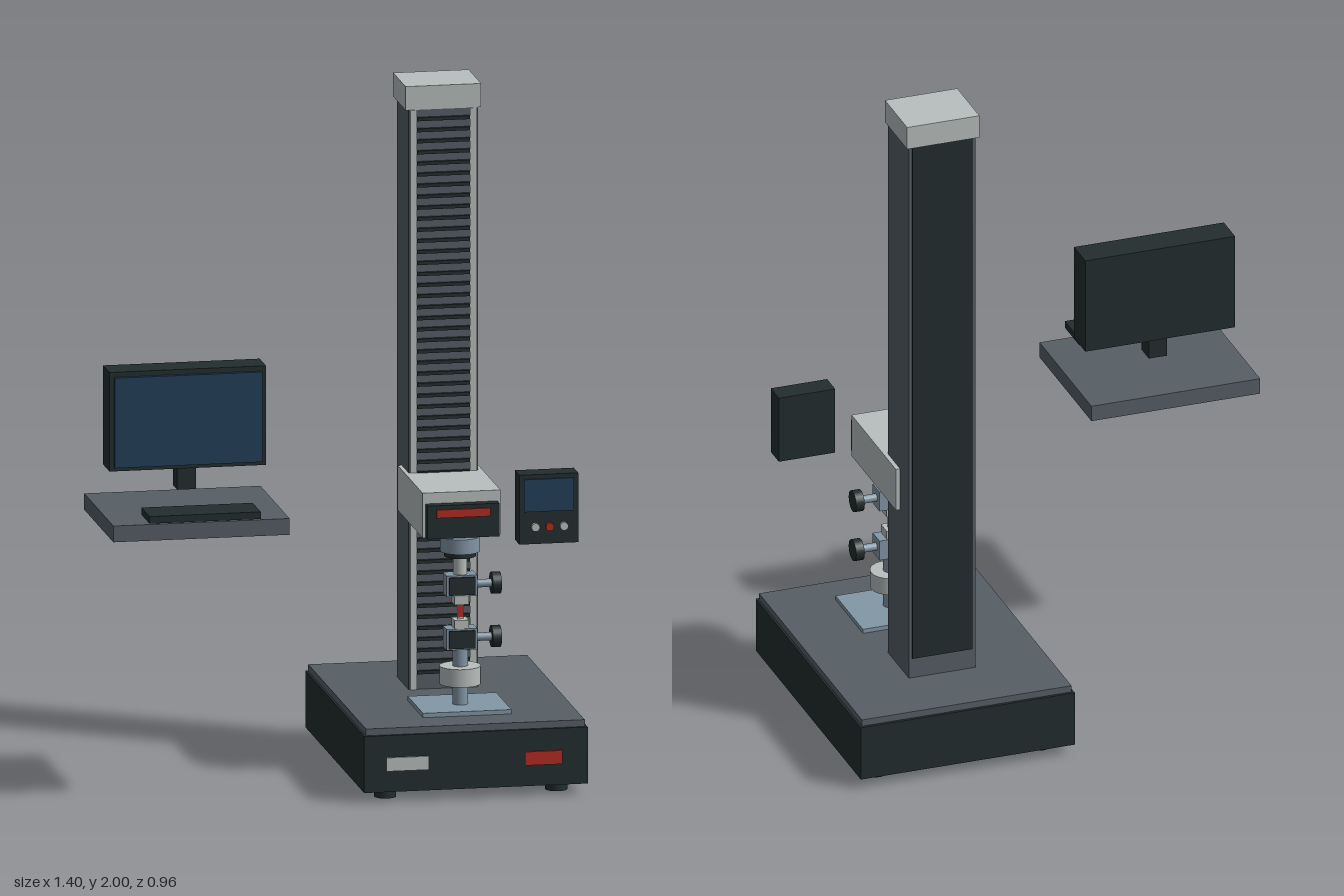
import * as THREE from 'three';

const mat = (name, color) => {
  const m = new THREE.MeshStandardMaterial({ color });
  m.name = name;
  return m;
};

export function createModel() {
  const model = new THREE.Group();
  model.name = 'tensileTester';

  const dark = mat('dark casing', 0x222d2e);
  const grey = mat('slate grey', 0x565f66);
  const light = mat('light grey', 0xb9bfbe);
  const steel = mat('blue steel', 0x8397a6);
  const blue = mat('screen blue', 0x22405a);
  const red = mat('signal red', 0xb32b22);

  const group = (name) => {
    const g = new THREE.Group();
    g.name = name;
    model.add(g);
    return g;
  };
  const add = (parent, name, geometry, material, x, y, z) => {
    const m = new THREE.Mesh(geometry, material);
    m.name = name;
    m.position.set(x, y, z);
    parent.add(m);
    return m;
  };
  // box given by its extents on each axis
  const box = (parent, name, material, [x0, x1], [y0, y1], [z0, z1]) =>
    add(parent, name, new THREE.BoxGeometry(x1 - x0, y1 - y0, z1 - z0), material,
      (x0 + x1) / 2, (y0 + y1) / 2, (z0 + z1) / 2);
  // upright cylinder between two heights
  const rod = (parent, name, material, r, y0, y1, x, z) =>
    add(parent, name, new THREE.CylinderGeometry(r, r, y1 - y0, 28), material, x, (y0 + y1) / 2, z);

  // base cabinet with feet and labels
  const base = group('base');
  box(base, 'baseCabinet', dark, [0.04, 0.697], [0.03, 0.197], [-0.477, 0.407]);
  box(base, 'baseTop', grey, [0.047, 0.69], [0.197, 0.217], [-0.468, 0.398]);
  box(base, 'lightLabel', light, [0.105, 0.23], [0.092, 0.132], [0.407, 0.412]);
  box(base, 'redLabel', red, [0.512, 0.622], [0.092, 0.132], [0.407, 0.412]);
  for (const x of [0.117, 0.62])
    for (const z of [0.327, -0.392]) rod(base, 'foot', dark, 0.032, 0, 0.03, x, z);

  // column with rails, bellows slats, back panel and cap
  const column = group('column');
  box(column, 'columnBody', grey, [0.267, 0.471], [0.217, 1.93], [-0.262, -0.086]);
  box(column, 'backPanel', dark, [0.277, 0.461], [0.28, 1.93], [-0.267, -0.262]);
  box(column, 'columnCap', light, [0.258, 0.48], [1.93, 2.0], [-0.272, -0.085]);
  for (const s of [-1, 1]) {
    const x = 0.369 + s * 0.088;
    box(column, 'rail', light, [x - 0.01, x + 0.01], [0.217, 1.93], [-0.086, -0.081]);
  }
  for (let i = 0; i < 51; i++) {
    const y = 0.268 + i * 0.0327;
    box(column, 'slat', dark, [0.291, 0.446], [y - 0.005, y + 0.005], [-0.086, -0.076]);
  }

  // moving crosshead and its front panel
  const crosshead = group('crosshead');
  box(crosshead, 'crossheadArm', light, [0.255, 0.484], [0.726, 0.858], [-0.188, 0.185]);
  box(crosshead, 'crossheadPanel', dark, [0.263, 0.475], [0.728, 0.826], [0.185, 0.216]);
  box(crosshead, 'crossheadStripe', red, [0.29, 0.447], [0.79, 0.814], [0.216, 0.221]);

  // load train along one vertical axis
  const X = 0.367, Z = 0.177;
  const train = group('loadTrain');
  rod(train, 'loadCell', steel, 0.058, 0.682, 0.726, X, Z);
  rod(train, 'loadCellCollar', dark, 0.046, 0.667, 0.682, X, Z);
  rod(train, 'upperShaft', light, 0.02, 0.61, 0.667, X, Z);
  rod(train, 'lowerShaft', steel, 0.022, 0.23, 0.397, X, Z);
  rod(train, 'lowerCoupling', light, 0.06, 0.29, 0.343, X, Z);
  box(train, 'mountingPlate', steel, [0.237, 0.497], [0.217, 0.23], [0.054, 0.284]);

  // grip with front plate, jaw and side knob; dir points away from the specimen
  const grip = (name, y, dir) => {
    const g = group(name);
    box(g, 'gripBody', steel, [X - 0.045, X + 0.045], [y - 0.031, y + 0.031], [Z - 0.03, Z + 0.027]);
    box(g, 'gripPlate', dark, [X - 0.038, X + 0.038], [y - 0.026, y + 0.026], [Z + 0.027, Z + 0.034]);
    const jaw = y - dir * 0.043;
    box(g, 'jaw', light, [X - 0.021, X + 0.021], [jaw - 0.013, jaw + 0.013], [Z - 0.025, Z + 0.025]);
    const screw = new THREE.CylinderGeometry(0.012, 0.012, 0.06, 20).rotateZ(Math.PI / 2);
    add(g, 'knobScrew', screw, steel, X + 0.07, y, Z);
    const knob = new THREE.CylinderGeometry(0.032, 0.032, 0.026, 24).rotateZ(Math.PI / 2);
    add(g, 'knob', knob, dark, 0.471, y, Z);
  };
  grip('upperGrip', 0.583, 1);
  grip('lowerGrip', 0.425, -1);
  box(train, 'specimen', light, [X - 0.009, X + 0.009], [0.478, 0.53], [Z - 0.003, Z + 0.003]);
  box(train, 'specimenMark', red, [X - 0.007, X + 0.007], [0.486, 0.522], [Z + 0.003, Z + 0.005]);

  // control unit with screen and three buttons
  const control = group('controlUnit');
  box(control, 'controlCase', dark, [0.517, 0.69], [0.72, 0.925], [0.232, 0.3]);
  box(control, 'controlScreen', blue, [0.53, 0.676], [0.816, 0.912], [0.3, 0.305]);
  [[0.563, light], [0.605, red], [0.647, light]].forEach(([x, m]) =>
    add(control, 'button', new THREE.CylinderGeometry(0.012, 0.012, 0.012, 20).rotateX(Math.PI / 2),
      m, x, 0.771, 0.306));

  // workstation: shelf, monitor, stand, keyboard
  const station = group('workstation');
  box(station, 'shelf', grey, [-0.703, -0.185], [0.81, 0.858], [0, 0.437]);
  box(station, 'monitorCase', dark, [-0.672, -0.212], [0.97, 1.263], [0.126, 0.221]);
  box(station, 'monitorScreen', blue, [-0.659, -0.225], [0.982, 1.248], [0.221, 0.234]);
  box(station, 'monitorStand', dark, [-0.47, -0.414], [0.904, 0.97], [0.145, 0.205]);
  box(station, 'keyboard', dark, [-0.605, -0.278], [0.87, 0.891], [0.358, 0.479]);

  return model;
}
